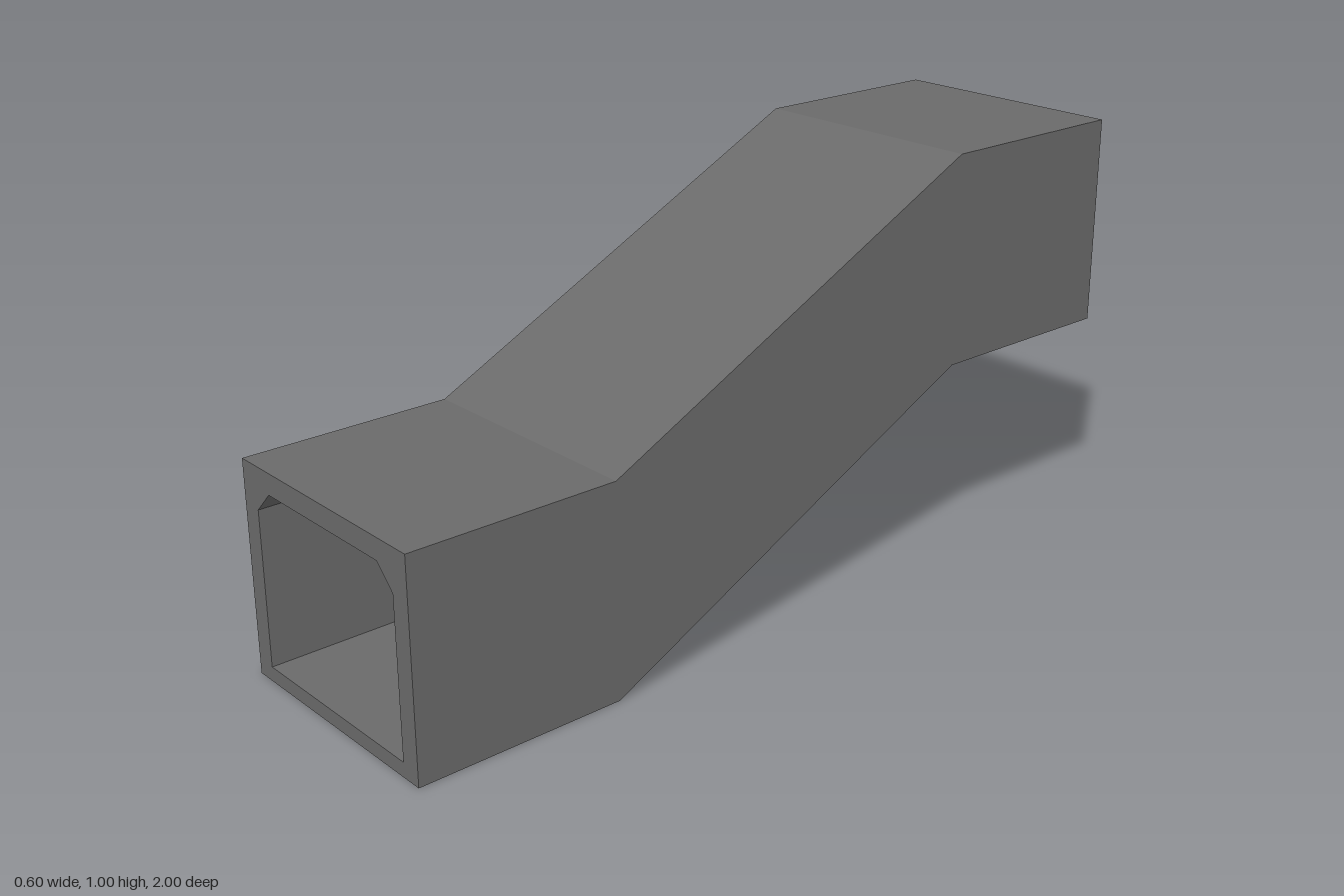
import * as THREE from 'three';

// Height of the duct floor along its length: low front, ramp, high back
const rise = (z) => 0.5 * THREE.MathUtils.clamp(0.5 - z, 0, 1);

const points = (list) => list.map(([x, y]) => new THREE.Vector2(x, y));

export function createModel() {
  const group = new THREE.Group();
  group.name = 'rampedTunnel';

  // Outer wall section with a passage chamfered at its upper corners
  const section = new THREE.Shape(points([[-0.3, 0], [0.3, 0], [0.3, 0.5], [-0.3, 0.5]]));
  section.holes.push(new THREE.Path(points([
    [-0.25, 0.035], [-0.25, 0.4], [-0.2, 0.45], [0.2, 0.45], [0.25, 0.4], [0.25, 0.035],
  ])));

  // Straight tunnel with rings at the bends, then lifted along the ramp
  const geometry = new THREE.ExtrudeGeometry(section, { depth: 2, steps: 4, bevelEnabled: false });
  geometry.translate(0, 0, -1);
  const pos = geometry.attributes.position;
  for (let i = 0; i < pos.count; i++) pos.setY(i, pos.getY(i) + rise(pos.getZ(i)));
  geometry.computeVertexNormals();

  // Dark grey walls
  const tunnel = new THREE.Mesh(
    geometry,
    new THREE.MeshStandardMaterial({ color: 0x6a6a6a, flatShading: true }),
  );
  tunnel.name = 'tunnelWalls';
  group.add(tunnel);
  return group;
}
